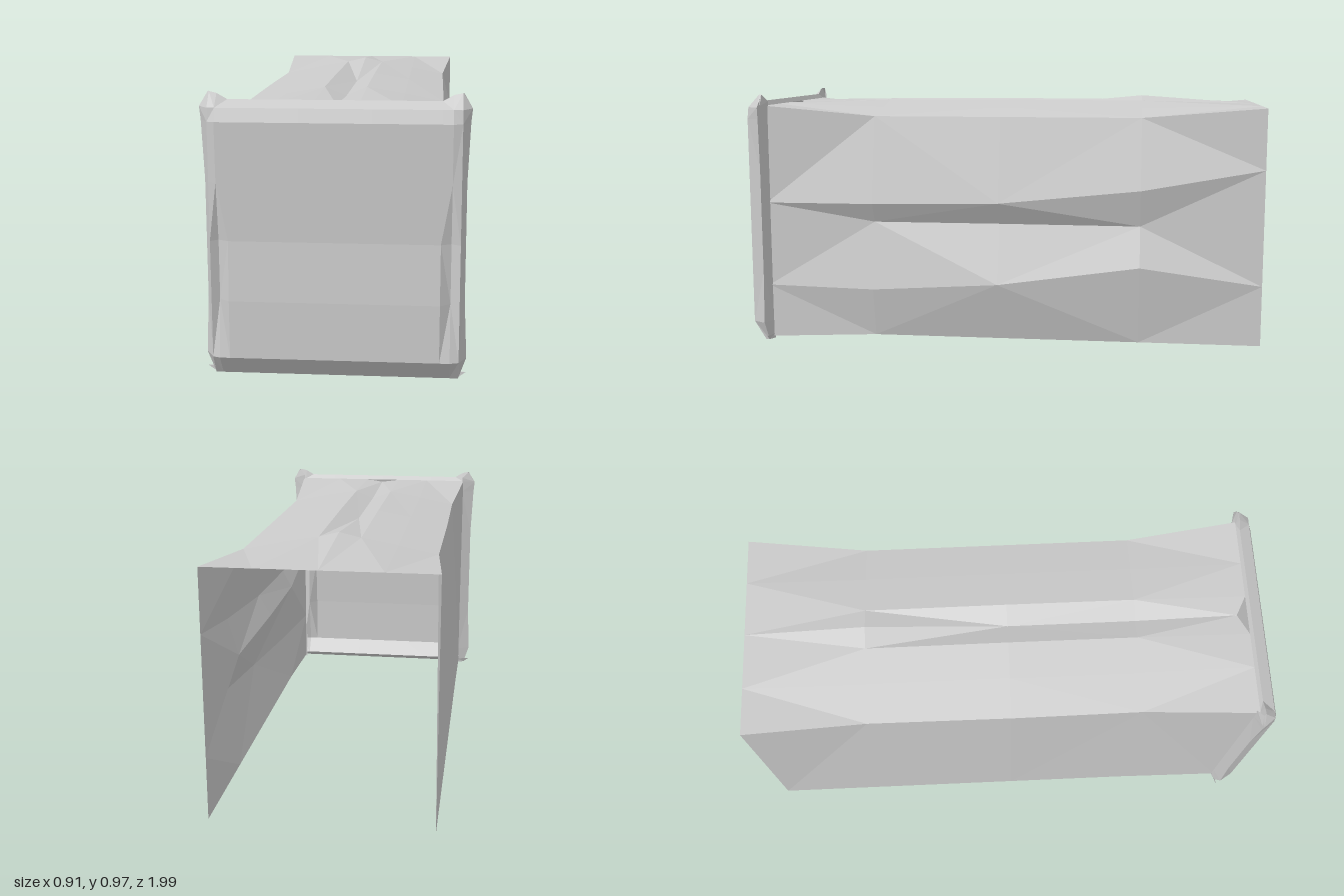
import * as THREE from 'three';

const material = new THREE.MeshStandardMaterial({ color: 0xcccccc, flatShading: true, side: THREE.DoubleSide });

// Skin a grid of points: rows[i][j] = [x, y, z]
function skin(name, rows) {
  const n = rows[0].length;
  const index = [];
  for (let i = 0; i < rows.length - 1; i++) {
    for (let j = 0; j < n - 1; j++) {
      const a = i * n + j, b = a + 1, c = a + n, d = c + 1;
      // alternate the diagonals for an irregular faceted look
      if ((i + j) % 2) index.push(a, c, b, b, c, d);
      else index.push(a, c, d, a, d, b);
    }
  }
  const geometry = new THREE.BufferGeometry();
  geometry.setAttribute('position', new THREE.Float32BufferAttribute(rows.flat(2), 3));
  geometry.setIndex(index);
  geometry.computeVertexNormals();
  const mesh = new THREE.Mesh(geometry, material);
  mesh.name = name;
  return mesh;
}

// Open channel: plain right wall, creased top, left wall with a long groove
function makeShell() {
  const stations = [
    // edge = top corners, top = crease height, mid = centre line, upper and lower = ridges of the left wall
    { z: -1, l: -0.4, r: 0.39, edge: 0.93, top: 0.93, mid: 0.93, upper: [0.39, 0.7], groove: 0.39, lower: [0.39, 0.26], foot: 0.03 },
    { z: -0.54, l: -0.365, r: 0.35, edge: 0.89, top: 0.943, mid: 0.962, upper: [0.42, 0.62], groove: 0.38, lower: [0.44, 0.33], foot: 0.03 },
    { z: 0, l: -0.368, r: 0.35, edge: 0.89, top: 0.945, mid: 0.91, upper: [0.425, 0.565], groove: 0.375, lower: [0.453, 0.255], foot: 0.03 },
    { z: 0.49, l: -0.365, r: 0.35, edge: 0.89, top: 0.942, mid: 0.91, upper: [0.42, 0.555], groove: 0.38, lower: [0.43, 0.22], foot: 0.03 },
    { z: 0.92, l: -0.4, r: 0.39, edge: 0.93, top: 0.93, mid: 0.925, upper: [0.39, 0.55], groove: 0.39, lower: [0.39, 0.22], foot: 0.01 },
  ];
  return skin('shell', stations.map((s) => {
    const shoulder = s.edge + (s.top - s.edge) * 0.55;
    const midZ = Math.min(s.z, 0.88);
    return [
      [-0.4, s.foot, s.z],
      [s.l, s.edge, s.z],
      [-0.22, shoulder, s.z],
      [-0.085, s.top, s.z],
      [-0.005, s.mid, midZ],
      [0.07, s.top, s.z],
      [0.21, shoulder, s.z],
      [s.r, s.edge, s.z],
      [...s.upper, s.z],
      [s.groove, 0.48, s.z],
      [...s.lower, s.z],
      [0.39, s.foot, s.z],
    ];
  }));
}

// Front panel: uneven face, bevelled border and a rim folded back to the shell
function makePanel() {
  const xs = [-0.395, -0.45, -0.42, -0.395, -0.36, -0.24, -0.12, 0, 0.12, 0.235, 0.345, 0.38, 0.41, 0.437, 0.385];
  const ys = [0.02, 0.002, 0.075, 0.275, 0.48, 0.68, 0.88, 0.925, 0.948, 0.93];
  const depthX = (i) => [0.905, 0.93, 0.98][Math.min(i, xs.length - 1 - i)] ?? 0.99;
  const depthY = [0.92, 0.935, 0.99, 0.99, 0.99, 0.99, 0.99, 0.975, 0.93, 0.92];
  const rows = xs.map((x0, i) => ys.map((y0, j) => {
    let x = x0, y = y0, z = Math.min(depthX(i), depthY[j]);
    const side = Math.min(i, xs.length - 1 - i);
    const border = side <= 2;
    // shallow dents over the face
    if (!border && j >= 3 && j <= 5) z -= 0.006 * ((i * 3 + j * 5) % 3);
    // a narrow vertical slot near each side
    if (side === 3 && (j === 3 || j === 4)) z = 0.96;
    // chamfered corners, the upper ones raised to a point
    if (side === 1 && (j === 1 || j === 8)) { x *= 0.945; z = 0.92; }
    if (side <= 3 && side >= 1 && j === 8) y = side === 3 ? 0.968 : 0.974;
    if (side === 1 && j >= 3 && j <= 5) x *= 0.98;
    if (side === 1 && j === 7) x *= 1.01;
    return [x, y, z];
  }));
  return skin('frontPanel', rows);
}

export function createModel() {
  const group = new THREE.Group();
  group.name = 'openBoxCover';
  group.add(makeShell(), makePanel());
  return group;
}
